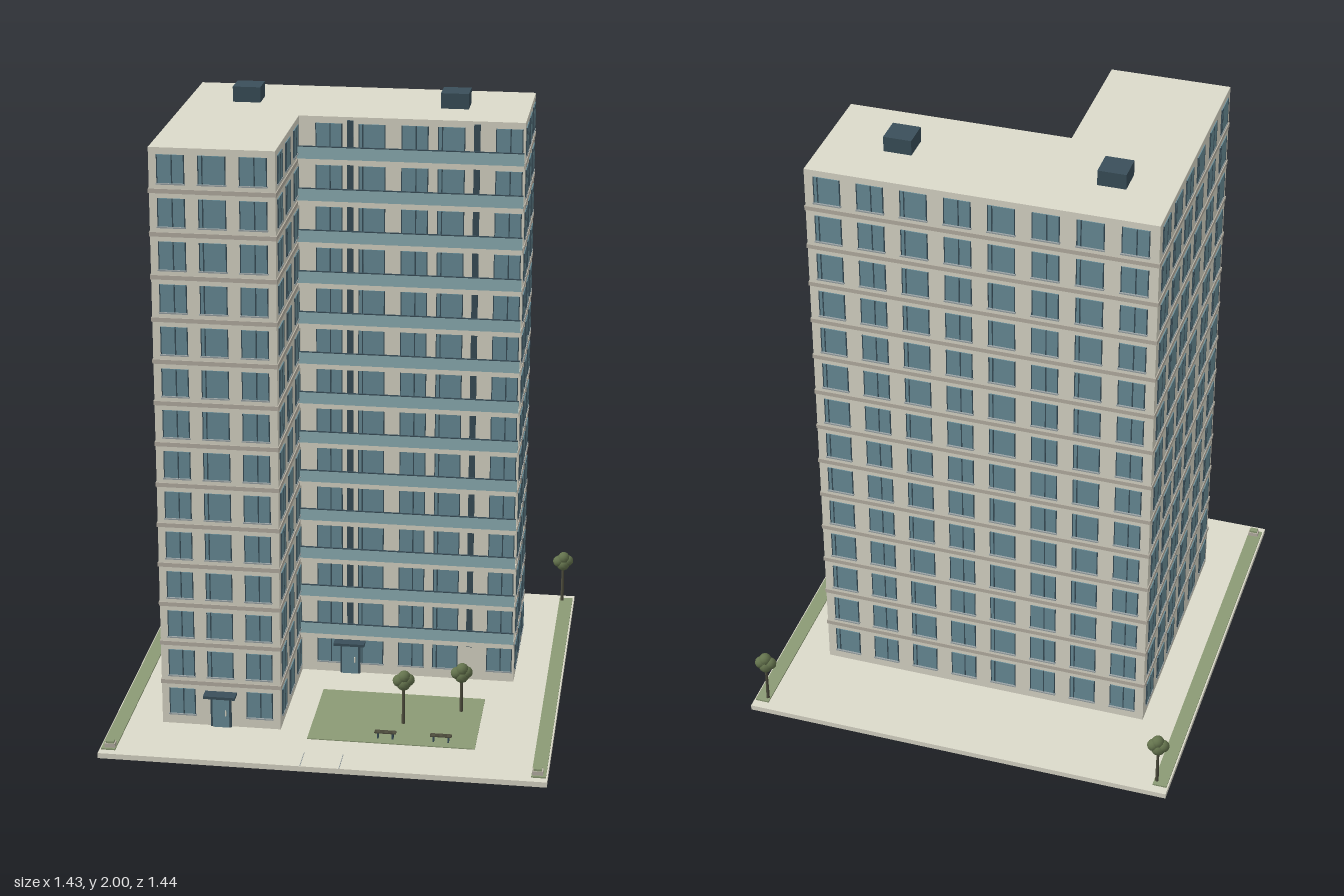
import * as THREE from 'three';
import { mergeGeometries } from 'three/addons/utils/BufferGeometryUtils.js';

const paint = (name, color) => {
  const m = new THREE.MeshStandardMaterial({ color });
  m.name = name;
  return m;
};

const FLOORS = 14, STEP = 0.1372, BASE = 0.018, ROOF = 1.95;
const X0 = -0.555, X1 = 0.555, XW = -0.165; // outer sides and inner side of the wing
const ZB = -0.4, ZM = 0.015, ZF = 0.472;    // back, main front, wing front

// box given by its centre and size
const box = (x, y, z, w, h, d) => new THREE.BoxGeometry(w, h, d).translate(x, y, z);
// box given by its limits
const span = (x0, x1, y0, y1, z0, z1) =>
  box((x0 + x1) / 2, (y0 + y1) / 2, (z0 + z1) / 2, x1 - x0, y1 - y0, z1 - z0);

export function createModel() {
  const model = new THREE.Group();
  model.name = 'apartmentBlock';
  const mats = {
    concrete: paint('concrete', 0xdcdaca),
    trim: paint('trim', 0xb8b2a5),
    sill: paint('sillGrey', 0x9aa3a5),
    glass: paint('glass', 0x6a8e99),
    dark: paint('darkMetal', 0x3a4f5a),
    balcony: paint('balconyPanel', 0x8fb2b7),
    grass: paint('grass', 0x8c9b75),
    leaf: paint('foliage', 0x64734d),
    wood: paint('wood', 0x4f4e3e),
  };
  const add = (name, mat, geos, parent = model) => {
    const mesh = new THREE.Mesh(geos.length > 1 ? mergeGeometries(geos) : geos[0], mats[mat]);
    mesh.name = name;
    parent.add(mesh);
    return mesh;
  };

  // Plot, lawn, hedge strips and entrance path edges
  add('plot', 'concrete', [span(-0.717, 0.717, 0, BASE, -0.72, 0.716)]);
  add('lawn', 'grass', [span(-0.07, 0.473, BASE, BASE + 0.003, 0.165, 0.527)]);
  add('grassStrips', 'grass', [-1, 1].map(s => box(s * 0.689, BASE + 0.002, 0, 0.046, 0.006, 1.38)));
  add('pathEdges', 'sill', [-0.064, 0.061].map(x => box(x, BASE + 0.001, 0.668, 0.002, 0.002, 0.094)));

  // L-shaped tower
  add('mainBlock', 'concrete', [span(X0, X1, BASE, ROOF, ZB, ZM)]);
  add('wing', 'concrete', [span(X0, XW, BASE, ROOF, ZM, ZF)]);
  add('roofBoxes', 'dark', [-0.36, 0.315].map(x => box(x, 1.975, -0.185, 0.09, 0.05, 0.09)));

  // Thin ledges between floors
  const ledges = [], P = 0.003;
  for (let i = 1; i < FLOORS; i++) {
    const y = BASE + i * STEP + 0.012;
    ledges.push(span(X0 - P, X1 + P, y - 0.007, y + 0.007, ZB - P, ZM + P));
    ledges.push(span(X0 - P, XW + P, y - 0.007, y + 0.007, ZM, ZF + P));
  }
  add('floorLedges', 'trim', ledges);

  // Windows on one wall; list holds positions along the wall, skip(i, floor) leaves gaps
  function windowWall(name, list, angle, sillDepth, place, skip = () => false) {
    const glass = [], frames = [], sills = [];
    for (let f = 0; f < FLOORS; f++) {
      const y = 0.1 + f * STEP;
      list.forEach((u, i) => {
        if (skip(i, f)) return;
        const [x, z] = place(u);
        const put = (arr, dx, dy, w, h, d) =>
          arr.push(box(dx, dy, d / 2, w, h, d).rotateY(angle).translate(x, y, z));
        put(glass, 0, 0, 0.084, 0.09, 0.003);
        for (const s of [-1, 1]) put(frames, s * 0.0415, 0, 0.003, 0.09, 0.004);
        put(frames, i % 2 ? -0.029 : 0.004, 0, 0.004, 0.09, 0.004);
        put(sills, 0, -0.046, 0.09, 0.004, sillDepth);
      });
    }
    const wall = new THREE.Group();
    wall.name = name;
    add('windowGlass', 'glass', glass, wall);
    add('windowFrames', 'dark', frames, wall);
    add('windowSills', 'sill', sills, wall);
    model.add(wall);
  }
  const Q = Math.PI / 2;
  const backX = Array.from({ length: 8 }, (_, i) => -0.483 + i * 0.138);
  const mainZ = [-0.323, -0.185, -0.05], wingZ = [0.09, 0.246, 0.397];
  windowWall('backWindows', backX, Math.PI, 0.009, u => [u, ZB]);
  windowWall('wingFrontWindows', [-0.487, -0.36, -0.233], 0, 0.009, u => [u, ZF], (i, f) => i === 1 && f === 0);
  windowWall('mainFrontWindows', [-0.069, 0.069, 0.206, 0.322, 0.505], 0, 0.007, u => [u, ZM]);
  windowWall('leftWindows', mainZ, Q, 0.005, u => [X1, u]);
  windowWall('courtWindows', wingZ, Q, 0.005, u => [XW, u]);
  windowWall('rightWindows', [...mainZ, ...wingZ], -Q, 0.005, u => [X0, u]);

  // Dark vertical strips behind the balconies
  add('verticalStrips', 'dark', [0, 0.403].map(x => span(x - 0.01, x + 0.01, 0.14, 1.94, ZM, ZM + 0.008)));

  // Balconies: slab, front panel standing on it and thin rail
  const slabs = [], panels = [], rails = [];
  for (let f = 1; f < FLOORS; f++) {
    const y = BASE + f * STEP + 0.012;
    slabs.push(span(XW, X1, y - 0.008, y + 0.008, ZM, 0.06));
    panels.push(span(XW, X1, y + 0.008, y + 0.047, 0.056, 0.06));
    rails.push(span(XW, X1, y + 0.047, y + 0.05, 0.056, 0.061));
  }
  add('balconySlabs', 'concrete', slabs);
  add('balconyPanels', 'balcony', panels);
  add('balconyRails', 'dark', rails);

  // Entrances with canopies
  for (const [x, z] of [[-0.36, ZF], [0, ZM]]) {
    const door = new THREE.Group();
    door.name = 'entrance';
    door.position.set(x, 0, z);
    add('doorFrame', 'dark', [span(-0.034, 0.034, BASE, 0.132, 0, 0.008)], door);
    add('doorLeaf', 'glass', [span(-0.027, 0.027, BASE, 0.124, 0.008, 0.011)], door);
    add('doorHandle', 'concrete', [box(0.016, 0.07, 0.013, 0.004, 0.02, 0.004)], door);
    add('canopy', 'dark', [span(-0.052, 0.052, 0.132, 0.141, 0, 0.043)], door);
    model.add(door);
  }

  // Trees: trunk with a clump of rounded blobs
  for (const [x, z, h] of [[-0.675, -0.67, 0.21], [0.675, -0.67, 0.21], [0.225, 0.378, 0.21], [0.403, 0.265, 0.195]]) {
    const tree = new THREE.Group();
    tree.name = 'tree';
    tree.position.set(x, 0, z);
    add('trunk', 'wood', [new THREE.CylinderGeometry(0.004, 0.006, h - 0.05, 8).translate(0, BASE + (h - 0.05) / 2, 0)], tree);
    const blobs = [[0, -0.045, 0, 0.024], [-0.016, -0.035, 0.003, 0.02], [0.016, -0.033, -0.003, 0.02], [0.002, -0.021, 0.002, 0.021]];
    add('foliage', 'leaf', blobs.map(([bx, by, bz, r]) =>
      new THREE.SphereGeometry(r, 12, 8).translate(bx, h + by, bz)), tree);
    model.add(tree);
  }

  // Benches on the lawn
  for (const x of [0.18, 0.36]) {
    const bench = new THREE.Group();
    bench.name = 'bench';
    bench.position.set(x, BASE, 0.49);
    add('seat', 'wood', [-0.007, 0, 0.007].map(z => box(0, 0.024, z, 0.07, 0.004, 0.005)), bench);
    add('legs', 'dark', [-0.024, 0.024].map(lx => box(lx, 0.011, 0, 0.005, 0.022, 0.016)), bench);
    model.add(bench);
  }

  // Corner planters
  for (const s of [-1, 1]) {
    const planter = new THREE.Group();
    planter.name = 'planter';
    planter.position.set(s * 0.685, BASE, 0.67);
    add('planterBox', 'trim', [box(0, 0.009, 0, 0.034, 0.018, 0.026)], planter);
    add('planterGreen', 'grass', [box(0, 0.021, 0, 0.026, 0.008, 0.019)], planter);
    model.add(planter);
  }
  return model;
}
